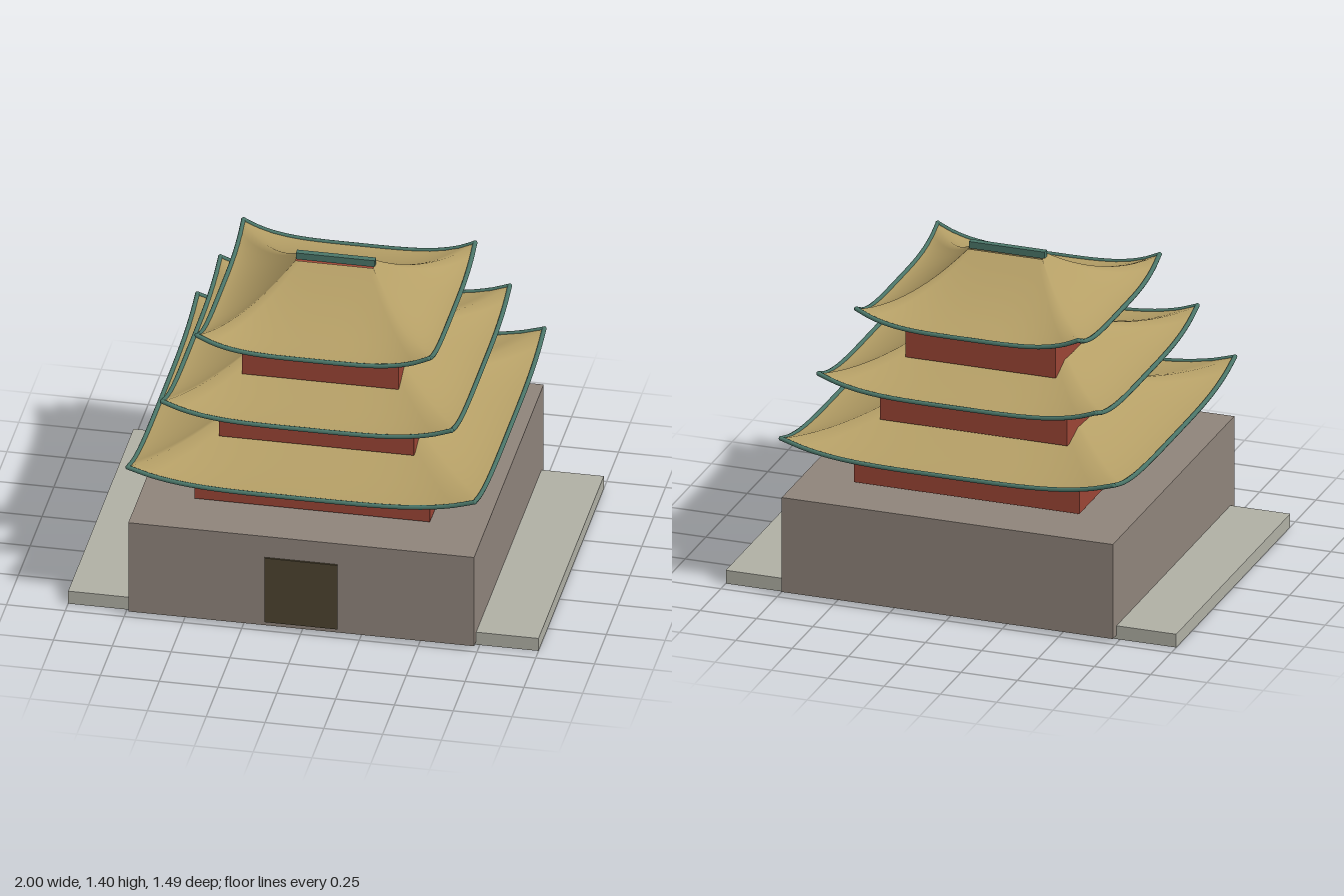
import * as THREE from 'three';

const mat = (name, color, side = THREE.FrontSide) => {
  const m = new THREE.MeshStandardMaterial({ color, side });
  m.name = name;
  return m;
};

// Point on a square loop of half size 1: side 0 is the front, then counterclockwise from above
const loopPoint = (side, u) => [[u, 1], [1, -u], [-u, -1], [-1, u]][side];

const SEG = 16;    // segments along each eave
const RINGS = 14;  // rings from eave to ridge

// Hipped roof height: concave slope with upturned corners
function roofPoint(r, side, u, t) {
  const [px, pz] = loopPoint(side, u);
  const y = r.eaveY + r.rise * Math.pow(t, 1.7) + 0.067 * Math.pow(Math.abs(u), 4) * (1 - t) ** 2;
  return new THREE.Vector3(
    px * THREE.MathUtils.lerp(r.half, r.half * 0.335, t), y,
    pz * THREE.MathUtils.lerp(r.half, r.half * 0.07, t));
}

function roofGeometry(r) {
  const pos = [], index = [], n = SEG * 4;
  for (let i = 0; i <= RINGS; i++) {
    for (let j = 0; j < n; j++) {
      const u = -1 + 2 * (j % SEG) / SEG;
      pos.push(...roofPoint(r, Math.floor(j / SEG), u, i / RINGS).toArray());
    }
  }
  for (let i = 0; i < RINGS; i++) {
    for (let j = 0; j < n; j++) {
      const k = (j + 1) % n;
      const a = i * n + j, b = i * n + k, c = b + n, d = a + n;
      index.push(a, b, c, a, c, d);
    }
  }
  const g = new THREE.BufferGeometry();
  g.setAttribute('position', new THREE.Float32BufferAttribute(pos, 3));
  g.setIndex(index);
  g.computeVertexNormals();
  return g;
}

export function createModel() {
  const model = new THREE.Group();
  model.name = 'pagoda';

  const slabMat = mat('pale stone', 0xb0b0a5);
  const stoneMat = mat('grey stone', 0x8f847b);
  const doorMat = mat('dark wood', 0x4d4430);
  const wallMat = mat('red wall', 0x9b4535);
  const roofMat = mat('gold tile', 0xb59f66, THREE.DoubleSide);
  const trimMat = mat('green trim', 0x4b7669);

  const add = (parent, name, geometry, material) => {
    const m = new THREE.Mesh(geometry, material);
    m.name = name;
    parent.add(m);
    return m;
  };
  // Box centred on x, standing on y0
  const box = (parent, name, w, d, y0, y1, material, z = 0) =>
    add(parent, name, new THREE.BoxGeometry(w, y1 - y0, d), material).position.set(0, (y0 + y1) / 2, z);

  // Base
  box(model, 'groundSlab', 2, 1.38, 0, 0.06, slabMat);
  box(model, 'stoneBase', 1.47, 1.47, 0.018, 0.445, stoneMat);
  box(model, 'door', 0.31, 0.009, 0.037, 0.345, doorMat, 0.7385);

  // Three storeys, each a wall block under a curved roof with an eave trim
  const storeys = [
    { wall: 0.5, half: 0.737, rise: 0.2 },
    { wall: 0.415, half: 0.615, rise: 0.2 },
    { wall: 0.333, half: 0.492, rise: 0.205 },
  ];
  storeys.forEach((s, i) => {
    const storey = new THREE.Group();
    storey.name = 'storey' + (i + 1);
    model.add(storey);

    const y0 = 0.456 + 0.262 * i;
    const r = { half: s.half, rise: s.rise, eaveY: y0 + 0.19 };
    box(storey, 'wall', s.wall * 2, s.wall * 2, y0, y0 + 0.215, wallMat);
    add(storey, 'roof', roofGeometry(r), roofMat);

    for (let side = 0; side < 4; side++) {
      const pts = [];
      for (let k = 0; k <= SEG; k++) pts.push(roofPoint(r, side, -1 + 2 * k / SEG, 0));
      const path = new THREE.CatmullRomCurve3(pts);
      add(storey, 'eaveTrim', new THREE.TubeGeometry(path, 32, 0.01, 8), trimMat);
      add(storey, 'eaveCorner', new THREE.SphereGeometry(0.0105, 10, 8), trimMat).position.copy(pts[0]);
    }
  });

  // Ridge beam on the top roof
  box(model, 'ridgeBeam', 0.336, 0.028, 1.37, 1.4, trimMat);
  return model;
}
